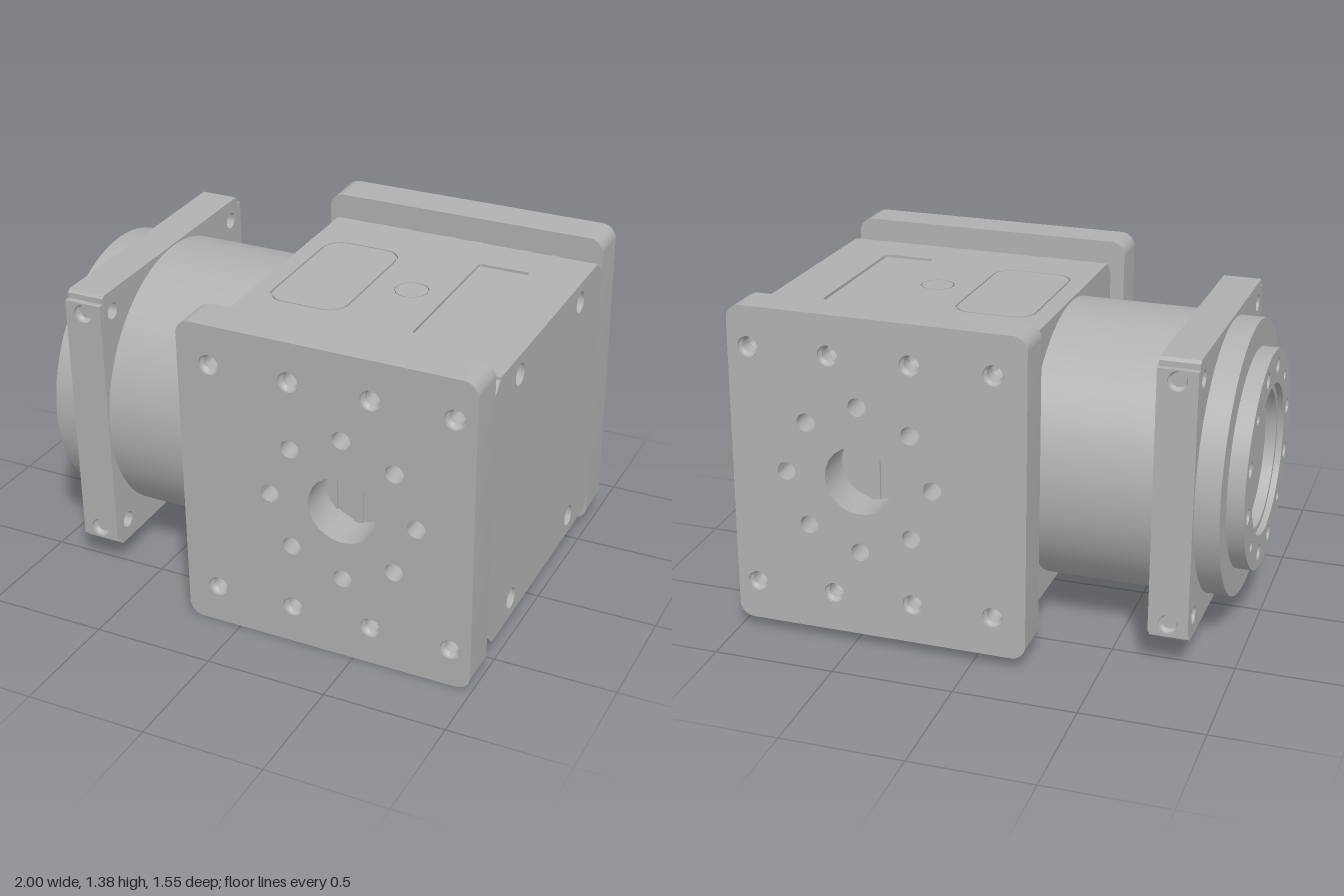
import * as THREE from 'three';
import { toCreasedNormals } from 'three/addons/utils/BufferGeometryUtils.js';

const metal = new THREE.MeshStandardMaterial({ color: 0xb0b0b0, side: THREE.DoubleSide });
metal.name = 'grey metal';

export function createModel() {
  const model = new THREE.Group();
  model.name = 'rotaryActuator';

  const add = (name, geo, x = 0, y = 0, z = 0) => {
    const mesh = new THREE.Mesh(geo, metal);
    mesh.name = name;
    mesh.position.set(x, y, z);
    model.add(mesh);
    return mesh;
  };
  const poly = (pts) => new THREE.Shape(pts.map(([x, y]) => new THREE.Vector2(x, y)));
  const circle = (x, y, r, Kind = THREE.Path) => {
    const p = new Kind();
    p.absarc(x, y, r, 0, Math.PI * 2);
    return p;
  };
  const roundRect = (x0, y0, x1, y1, r, Kind = THREE.Shape) => {
    const p = new Kind();
    p.absarc(x1 - r, y1 - r, r, 0, Math.PI / 2);
    p.absarc(x0 + r, y1 - r, r, Math.PI / 2, Math.PI);
    p.absarc(x0 + r, y0 + r, r, Math.PI, Math.PI * 1.5);
    p.absarc(x1 - r, y0 + r, r, Math.PI * 1.5, Math.PI * 2);
    p.closePath();
    return p;
  };
  const extrude = (shape, depth, seg = 12) => toCreasedNormals(
    new THREE.ExtrudeGeometry(shape, { depth, bevelEnabled: false, curveSegments: seg }), 0.6);
  // Extrusions along the x axis and the y axis
  const alongX = (shape, x0, x1, seg) => extrude(shape, x1 - x0, seg).rotateY(Math.PI / 2).translate(x0, 0, 0);
  const alongY = (shape, y0, y1) => extrude(shape, y1 - y0).rotateX(-Math.PI / 2).translate(0, y0, 0);
  const octagon = (h, w, c) => poly([[w, h - c], [w - c, h], [c - w, h], [-w, h - c],
    [-w, c - h], [c - w, -h], [w - c, -h], [w, c - h]]);

  // Countersunk blind hole lining, opening towards the given direction
  const socket = (name, r, depth, pos, dir) => {
    const pts = [[r, 0], [r, -0.012], [r * 0.75, -0.025], [r * 0.7, -depth], [0, -depth - r * 0.4]];
    const geo = toCreasedNormals(
      new THREE.LatheGeometry(pts.map(([x, y]) => new THREE.Vector2(x, y)), 20), 0.5);
    const m = add(name, geo, ...pos);
    m.quaternion.setFromUnitVectors(new THREE.Vector3(0, 1, 0), new THREE.Vector3(...dir));
  };
  const corners = [[1, 1], [1, -1], [-1, 1], [-1, -1]];

  // Housing block: chamfered core and an end layer with four screw holes
  const core = () => poly([[0.583, 0.53], [0.542, 0.571], [-0.542, 0.571], [-0.583, 0.53],
    [-0.583, -0.53], [-0.53, -0.583], [0.53, -0.583], [0.583, -0.53]]);
  add('housing', alongX(core(), -0.165, 0.9));
  const end = core();
  for (const [a, b] of corners) {
    end.holes.push(circle(a * 0.333, b * 0.5, 0.045));
    socket('housingScrewHole', 0.045, 0.06, [0.995, b * 0.5, a * 0.333], [1, 0, 0]);
  }
  add('housingEnd', alongX(end, 0.9, 0.995));

  // Top skin with recessed label, grooved cover and grooved plug
  const skin = poly([[-0.165, -0.53], [0.995, -0.53], [0.995, 0.53], [-0.165, 0.53]]);
  skin.holes.push(roundRect(-0.09, -0.305, 0.245, 0.305, 0.085, THREE.Path),
    circle(0.41, 0, 0.07), roundRect(0.56, -0.34, 0.775, 0.34, 0.015, THREE.Path));
  add('topSkin', alongY(skin, 0.571, 0.583));
  add('topCover', alongY(roundRect(-0.082, -0.297, 0.237, 0.297, 0.077), 0.571, 0.583));
  add('topPlug', alongY(circle(0.41, 0, 0.065, THREE.Shape), 0.571, 0.583));

  // Front and back mounting plates with a bore, a hole ring and edge screws
  for (const s of [1, -1]) {
    const plate = roundRect(-0.225, -0.665, 0.995, 0.665, 0.06);
    plate.holes.push(circle(0.46, 0, 0.142));
    for (let i = 0; i < 8; i++) {
      const a = i * Math.PI / 4;
      plate.holes.push(circle(0.46 + 0.305 * Math.cos(a), 0.305 * Math.sin(a), 0.038));
    }
    for (const x of [-0.09, 0.243, 0.577, 0.91]) {
      for (const y of [-0.5, 0.5]) {
        plate.holes.push(circle(x, y, 0.042));
        socket('plateScrewHole', 0.042, 0.08, [x, y, s * 0.75], [0, 0, s]);
      }
    }
    add(s > 0 ? 'frontPlate' : 'backPlate', extrude(plate, 0.167), 0, 0, s > 0 ? 0.583 : -0.75);
    // Ribs between the housing and the plate
    for (const x of [0.025, 0.135, 0.345, 0.455, 0.675, 0.8]) {
      add('rib', new THREE.BoxGeometry(0.04, 1.12, 0.045), x, 0, s * 0.5725);
    }
  }

  // Motor barrel and output disc
  const disc = (r, x0, x1) => new THREE.CylinderGeometry(r, r, x1 - x0, 72)
    .rotateZ(Math.PI / 2).translate((x0 + x1) / 2, 0, 0);
  add('barrel', disc(0.573, -0.7, -0.16));
  add('outputDisc', disc(0.565, -0.93, -0.8));

  // Square flange with screw holes through it and into its sides
  const flange = octagon(0.58, 0.555, 0.012);
  for (const [a, b] of corners) flange.holes.push(circle(a * 0.49, b * 0.49, 0.035));
  add('flange', alongX(flange, -0.83, -0.67));
  for (const s of [1, -1]) {
    const pad = poly([[-0.83, -0.545], [-0.67, -0.545], [-0.67, 0.545], [-0.83, 0.545]]);
    for (const y of [-0.5, 0.5]) {
      pad.holes.push(circle(-0.75, y, 0.04));
      socket('flangeSideHole', 0.04, 0.05, [-0.75, y, s * 0.58], [0, 0, s]);
    }
    add('flangeSide', extrude(pad, 0.025), 0, 0, s > 0 ? 0.555 : -0.58);
  }

  // Raised output ring with bolt and pin holes around a shallow recess
  const ring = circle(0, 0, 0.45, THREE.Shape);
  ring.holes.push(circle(0, 0, 0.31));
  for (let i = 0; i < 12; i++) {
    const a = (i + 0.5) * Math.PI / 6;
    const r = i % 3 === 1 ? 0.022 : 0.032;
    const [z, y] = [0.38 * Math.cos(a), 0.38 * Math.sin(a)];
    ring.holes.push(circle(-z, y, r));
    socket('ringHole', r, 0.05, [-1, y, z], [-1, 0, 0]);
  }
  add('outputRing', alongX(ring, -1, -0.93, 36));
  const lip = circle(0, 0, 0.312, THREE.Shape);
  lip.holes.push(circle(0, 0, 0.285));
  add('recessLip', alongX(lip, -0.975, -0.93, 36));

  // The whole unit sits slightly tilted
  model.rotation.set(0.0325, -0.006, 0);
  model.position.y = 0.69;
  const root = new THREE.Group();
  root.name = 'actuator';
  root.add(model);
  return root;
}
